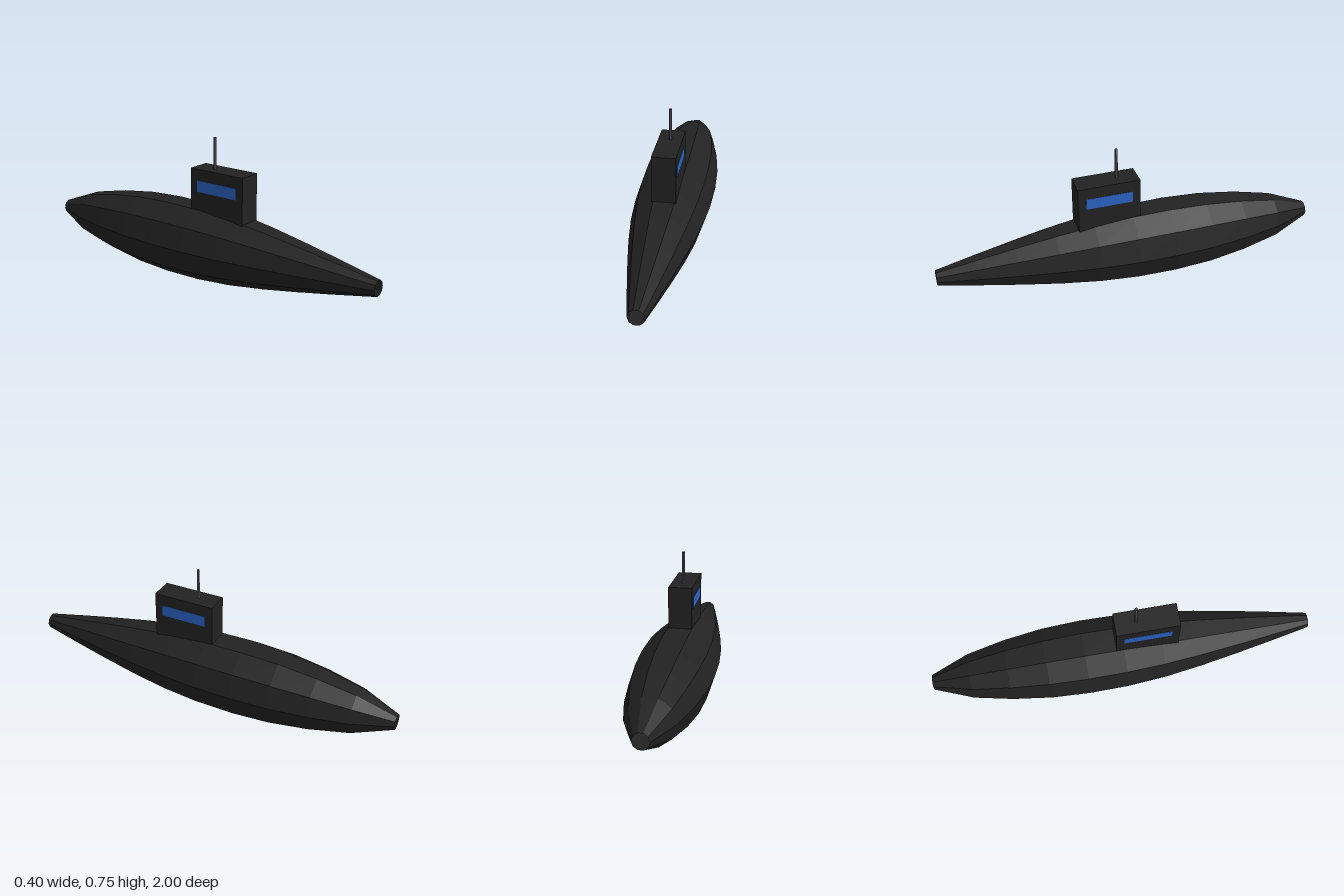
import * as THREE from 'three';

export function createModel() {
  const model = new THREE.Group();
  const material = (name, color, extra = {}) =>
    new THREE.MeshStandardMaterial({ name, color, flatShading: true, ...extra });
  const black = material('hull black', 0x222222, { side: THREE.DoubleSide });
  const blue = material('window blue', 0x2b64c4);
  const grey = material('mast grey', 0x565662);

  const add = (name, geometry, mat, x, y, z) => {
    const mesh = new THREE.Mesh(geometry, mat);
    mesh.name = name;
    mesh.position.set(x, y, z);
    model.add(mesh);
    return mesh;
  };

  // Ten-sided tapered hull, open at both ends; radii from stern to bow
  const radii = [0.04, 0.12, 0.163, 0.19, 0.2, 0.197, 0.181, 0.153, 0.118, 0.08, 0.04];
  const profile = radii.map((r, i) => new THREE.Vector2(r, -1 + i * 0.2));
  const hull = new THREE.LatheGeometry(profile, 10);
  hull.rotateX(Math.PI / 2);
  hull.rotateZ(Math.PI / 2); // puts flat faces at the top and bottom
  add('hull', hull, black, 0, 0.19, 0);

  // Conning tower
  add('tower', new THREE.BoxGeometry(0.12, 0.25, 0.32), black, 0, 0.465, 0.122);

  // Side windows
  for (const side of [-1, 1]) {
    add(side > 0 ? 'leftWindow' : 'rightWindow',
      new THREE.BoxGeometry(0.004, 0.058, 0.24), blue, side * 0.06, 0.502, 0.122);
  }

  // Periscope mast
  add('mast', new THREE.CylinderGeometry(0.008, 0.008, 0.17, 6), grey, 0, 0.665, 0.068);

  return model;
}
